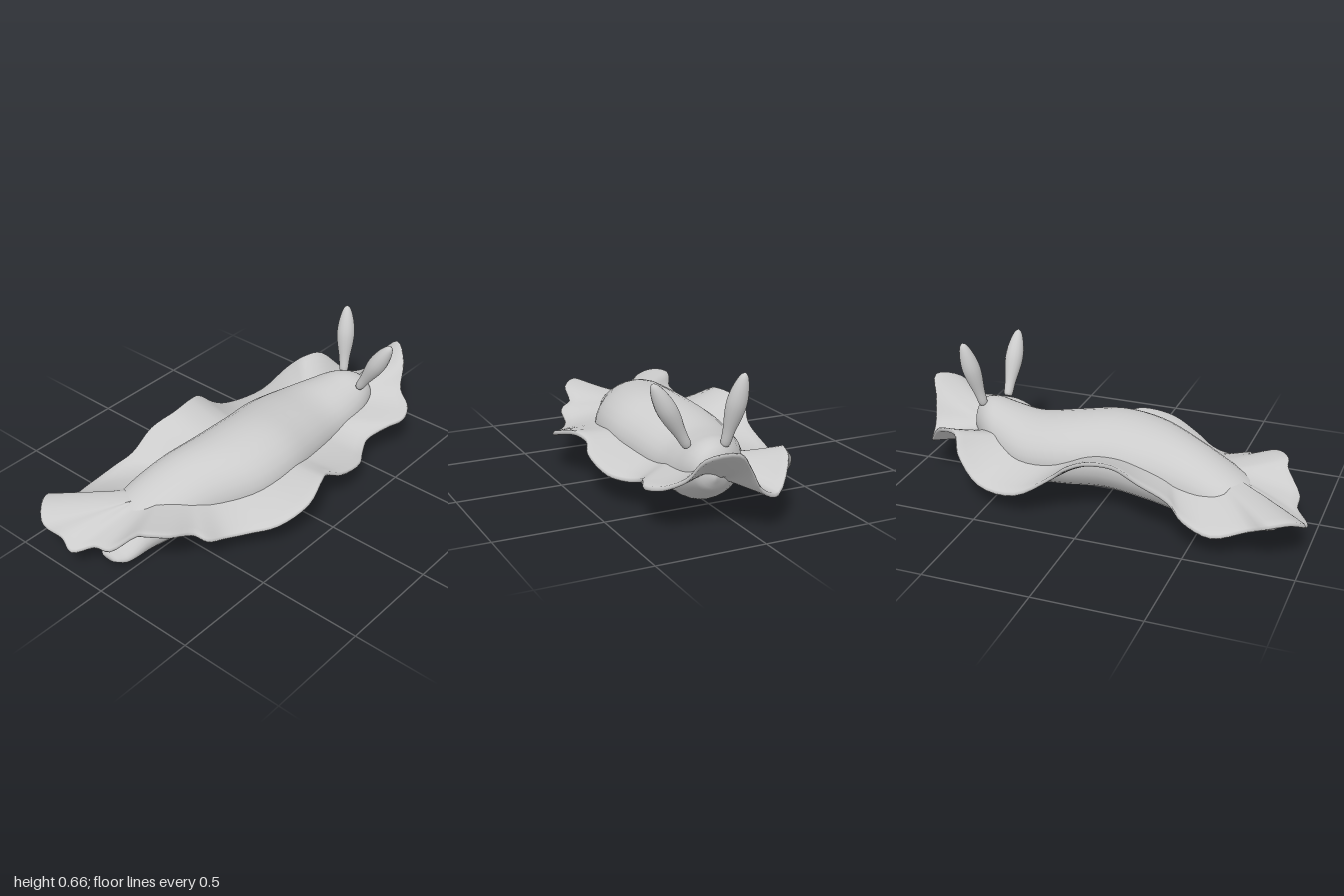
import * as THREE from 'three';

const material = new THREE.MeshStandardMaterial({ color: 0xcccccc });
const V = (x, y, z) => new THREE.Vector3(x, y, z);
const smoothCurve = (points, closed = false) => new THREE.CatmullRomCurve3(points, closed, 'centripetal');

// Skin a grid of points: rows of equal length, each row a closed loop
function loft(rows, closeRows = false) {
  const n = rows[0].length, m = rows.length;
  const index = [];
  for (let i = 0; i < (closeRows ? m : m - 1); i++) {
    for (let j = 0; j < n; j++) {
      const a = i * n + j, b = i * n + (j + 1) % n;
      const c = ((i + 1) % m) * n + j, d = ((i + 1) % m) * n + (j + 1) % n;
      index.push(a, c, b, b, c, d);
    }
  }
  const geometry = new THREE.BufferGeometry().setFromPoints(rows.flat());
  geometry.setIndex(index);
  geometry.computeVertexNormals();
  return geometry;
}

function addMesh(group, name, geometry) {
  const mesh = new THREE.Mesh(geometry, material);
  mesh.name = name;
  group.add(mesh);
  return mesh;
}

// Body stations from tail to head: x, centre z, half width, bottom y, top y
const stations = [
  [-0.855, -0.1, 0.04, 0.025, 0.05],
  [-0.82, -0.1, 0.09, 0.01, 0.09],
  [-0.7, -0.115, 0.145, 0, 0.205],
  [-0.6, -0.105, 0.17, 0, 0.262],
  [-0.4, -0.055, 0.2, 0.005, 0.34],
  [-0.2, 0.01, 0.235, 0.015, 0.378],
  [0, 0.03, 0.24, 0.03, 0.39],
  [0.2, 0.005, 0.235, 0.025, 0.365],
  [0.4, 0, 0.21, 0.02, 0.335],
  [0.55, 0.035, 0.175, 0.045, 0.345],
  [0.65, 0.065, 0.135, 0.1, 0.355],
  [0.72, 0.09, 0.085, 0.15, 0.325],
  [0.755, 0.1, 0.01, 0.21, 0.24],
];

function spineZ(x) {
  const i = Math.max(1, stations.findIndex((s) => s[0] >= x));
  const [a, b] = [stations[i - 1], stations[i]];
  return THREE.MathUtils.mapLinear(x, a[0], b[0], a[1], b[1]);
}

function bodyGeometry() {
  const spine = smoothCurve(stations.map(([x, z, , low, high]) => V(x, (low + high) / 2, z)));
  const sizes = smoothCurve(stations.map(([x, , w, low, high]) => V(x, (high - low) / 2, w)));
  const steps = 48, sides = 28;
  const rows = [];
  for (let i = 0; i <= steps; i++) {
    const centre = spine.getPoint(i / steps), size = sizes.getPoint(i / steps);
    rows.push(Array.from({ length: sides }, (_, j) => {
      const a = (j / sides) * Math.PI * 2;
      return V(centre.x, centre.y + size.y * Math.sin(a), centre.z + size.z * Math.cos(a));
    }));
  }
  // Close both ends with a point
  for (const row of [rows[0], rows[steps]]) {
    const middle = row[0].clone().lerp(row[sides / 2], 0.5);
    const cap = row.map(() => middle.clone());
    if (row === rows[0]) rows.unshift(cap);
    else rows.push(cap);
  }
  return loft(rows);
}

// Wavy rim of the mantle, once around: x, y, z
const rim = [
  [1, 0.4, 0.13], [0.91, 0.36, 0.235], [0.83, 0.26, 0.28], [0.78, 0.22, 0.36],
  [0.69, 0.2, 0.4], [0.6, 0.19, 0.37], [0.49, 0.155, 0.33], [0.41, 0.135, 0.36],
  [0.32, 0.14, 0.41], [0.15, 0.185, 0.43], [0.07, 0.22, 0.405], [0, 0.24, 0.43],
  [-0.15, 0.205, 0.47], [-0.3, 0.15, 0.42], [-0.4, 0.13, 0.34], [-0.5, 0.135, 0.285],
  [-0.6, 0.17, 0.265], [-0.63, 0.195, 0.21], [-0.75, 0.245, 0.185], [-0.82, 0.255, 0.11],
  [-0.83, 0.235, 0.06], [-0.91, 0.15, -0.03], [-0.92, 0.13, -0.12], [-0.985, 0.1, -0.2],
  [-0.97, 0.13, -0.27], [-1, 0.18, -0.35], [-0.95, 0.215, -0.42], [-0.87, 0.21, -0.47],
  [-0.77, 0.155, -0.435], [-0.62, 0.115, -0.475], [-0.48, 0.155, -0.45], [-0.4, 0.21, -0.405],
  [-0.26, 0.28, -0.41], [-0.13, 0.32, -0.38], [0, 0.32, -0.395], [0.08, 0.29, -0.415],
  [0.16, 0.22, -0.395], [0.33, 0.12, -0.425], [0.53, 0.115, -0.385], [0.66, 0.22, -0.32],
  [0.71, 0.29, -0.25], [0.81, 0.28, -0.215], [0.91, 0.165, -0.11], [0.935, 0.2, -0.02],
  [0.96, 0.31, 0.05],
];

function mantleGeometry() {
  const edge = smoothCurve(rim.map((p) => V(...p)), true);
  const rows = [];
  const around = 180, across = 10;
  for (let i = 0; i < around; i++) {
    const outer = edge.getPoint(i / around);
    const x = outer.x * 0.62;
    const inner = V(x, 0.2, spineZ(x));
    // Ruffle grows towards the rim, and the sheet thins out there
    const point = (k, side) => {
      const t = (k / across) * 0.985;
      const p = inner.clone().lerp(outer, t);
      p.y = THREE.MathUtils.lerp(inner.y, outer.y, Math.pow(t, 1.5)) + side * (0.03 - 0.02 * t);
      return p;
    };
    const row = [];
    for (let k = 0; k <= across; k++) row.push(point(k, 1));
    row.push(outer.clone());
    for (let k = across; k >= 0; k--) row.push(point(k, -1));
    rows.push(row);
  }
  return loft(rows, true);
}

// Slender spindle from a base point to a tip
function addHorn(group, name, base, tip) {
  const length = base.distanceTo(tip);
  const profile = [[0, 0], [0.02, 0], [0.027, 0.2], [0.041, 0.45], [0.044, 0.62], [0.035, 0.8], [0.018, 0.95], [0, 1]];
  const curve = new THREE.SplineCurve(profile.map(([r, h]) => new THREE.Vector2(r, h * length)));
  const points = curve.getPoints(24).map((p) => p.setX(Math.max(0, p.x)));
  const horn = addMesh(group, name, new THREE.LatheGeometry(points, 16));
  horn.position.copy(base);
  horn.quaternion.setFromUnitVectors(V(0, 1, 0), tip.clone().sub(base).normalize());
}

export function createModel() {
  const group = new THREE.Group();
  group.name = 'seaSlug';
  addMesh(group, 'body', bodyGeometry());
  addMesh(group, 'mantle', mantleGeometry());
  addHorn(group, 'rightHorn', V(0.685, 0.335, 0.025), V(0.758, 0.658, -0.025));
  addHorn(group, 'leftHorn', V(0.62, 0.33, 0.17), V(0.626, 0.62, 0.335));
  return group;
}
